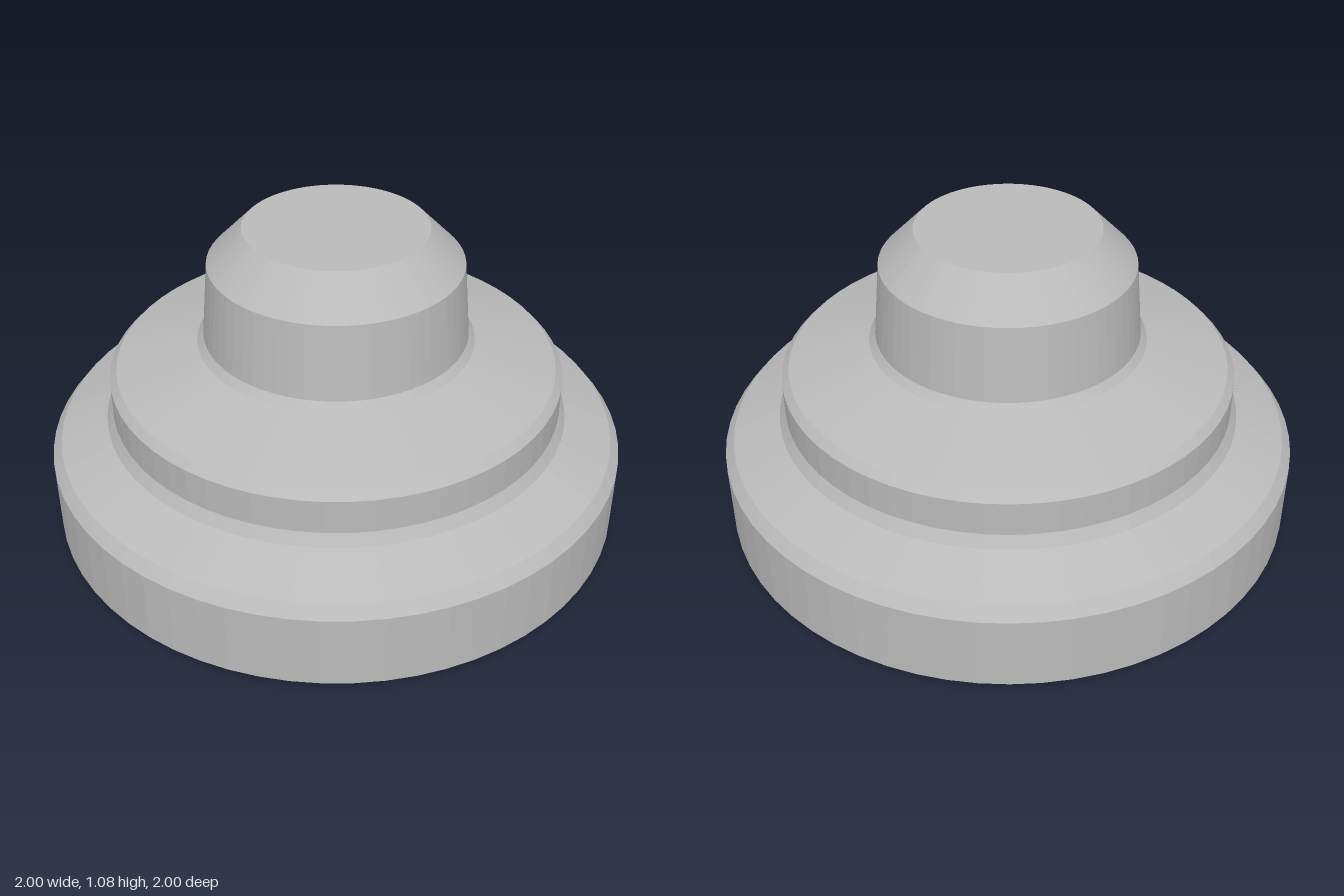
import * as THREE from 'three';

const SEGMENTS = 64;

// Faceted turned part from [radius, height] pairs, listed bottom to top
function turned(name, profile, material) {
  const points = profile.map(([r, y]) => new THREE.Vector2(r, y));
  const geometry = new THREE.LatheGeometry(points, SEGMENTS).toNonIndexed();
  geometry.computeVertexNormals();
  const mesh = new THREE.Mesh(geometry, material);
  mesh.name = name;
  return mesh;
}

export function createModel() {
  const grey = new THREE.MeshStandardMaterial({ color: 0xbababa });
  grey.name = 'plain grey';

  const model = new THREE.Group();
  model.name = 'steppedKnob';
  model.add(
    // Wide base disc: closed underside, chamfered rims, sloping shoulder
    turned('base', [[0, 0], [0.962, 0], [1, 0.03], [1, 0.29], [0.968, 0.33], [0.803, 0.4], [0.78, 0.44]], grey),
    // Middle tier with its sloping shoulder
    turned('middleTier', [[0.78, 0.44], [0.78, 0.56], [0.755, 0.587], [0.475, 0.668], [0.453, 0.695]], grey),
    // Tapered knob with a broad chamfer and flat top
    turned('knob', [[0.453, 0.695], [0.43, 0.957], [0.31, 1.08], [0, 1.08]], grey),
  );
  return model;
}
